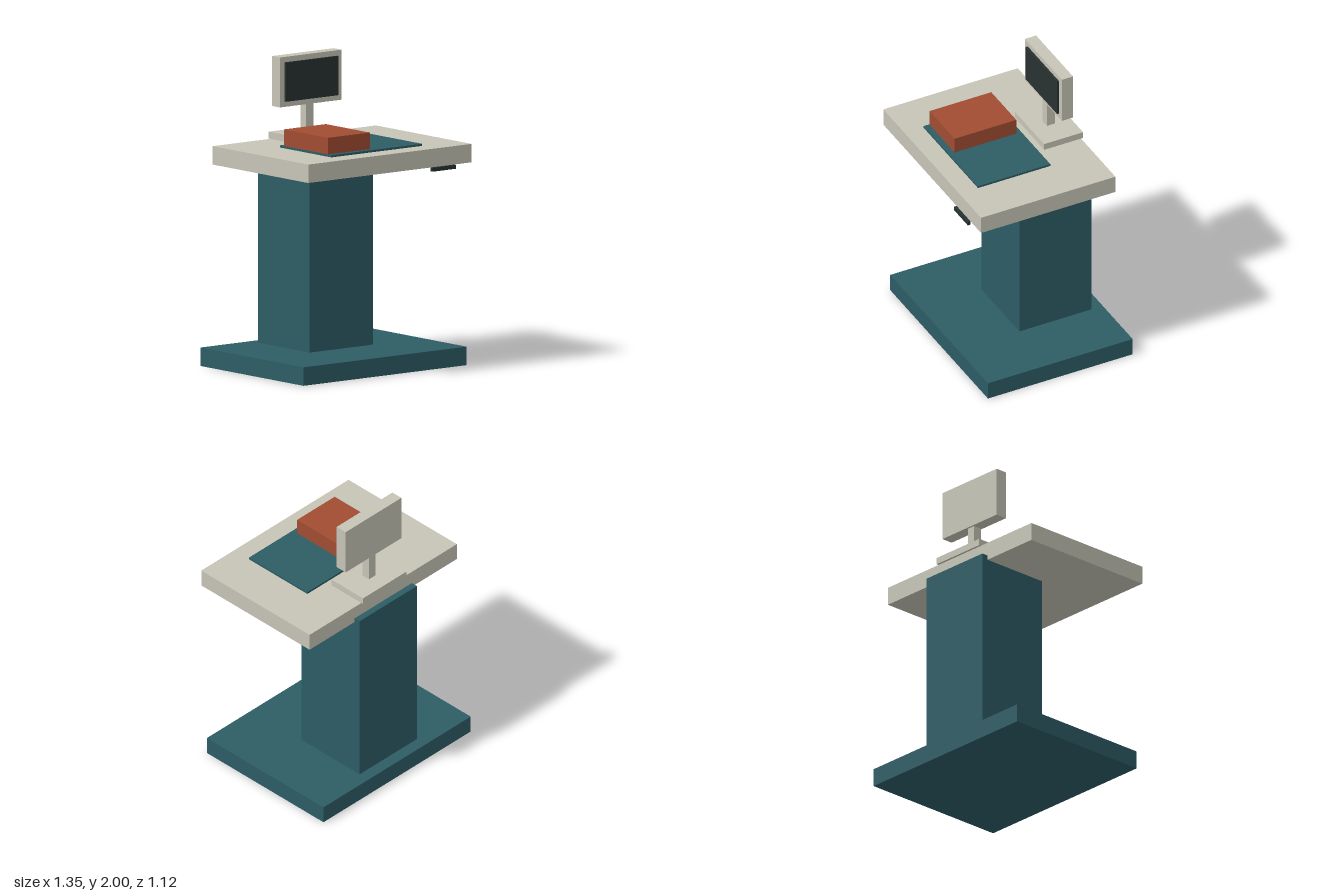
import * as THREE from 'three';

const material = (name, color) => {
  const m = new THREE.MeshStandardMaterial({ color });
  m.name = name;
  return m;
};

export function createModel() {
  const model = new THREE.Group();
  model.name = 'checkoutDesk';

  const beige = material('warm beige', 0xc7c5b7);
  const teal = material('deep teal', 0x2d5c65);
  const rust = material('rust red', 0xa04c32);
  const charcoal = material('charcoal', 0x293131);

  // Adds a box given its extents along each axis
  const addBox = (parent, name, mat, [x0, x1], [y0, y1], [z0, z1]) => {
    const mesh = new THREE.Mesh(new THREE.BoxGeometry(x1 - x0, y1 - y0, z1 - z0), mat);
    mesh.position.set((x0 + x1) / 2, (y0 + y1) / 2, (z0 + z1) / 2);
    mesh.name = name;
    parent.add(mesh);
  };

  // Pedestal desk
  const desk = new THREE.Group();
  desk.name = 'desk';
  addBox(desk, 'floorBase', teal, [-0.675, 0.675], [0, 0.12], [-0.56, 0.49]);
  addBox(desk, 'column', teal, [-0.262, 0.262], [0.12, 1.355], [-0.48, 0.045]);
  addBox(desk, 'tabletop', beige, [-0.675, 0.675], [1.325, 1.445], [-0.435, 0.54]);
  addBox(desk, 'heightControl', charcoal, [0.337, 0.53], [1.3, 1.325], [0.54, 0.56]);

  // Desk mat with a box standing on its right half
  addBox(desk, 'deskMat', teal, [-0.375, 0.375], [1.445, 1.459], [-0.12, 0.405]);
  addBox(desk, 'storageBox', rust, [-0.37, -0.025], [1.459, 1.567], [-0.083, 0.365]);

  // Monitor on its stand
  const monitor = new THREE.Group();
  monitor.name = 'monitor';
  addBox(monitor, 'standFoot', beige, [-0.2, 0.2], [1.445, 1.49], [-0.45, -0.167]);
  addBox(monitor, 'standPost', beige, [-0.03, 0.03], [1.49, 1.675], [-0.335, -0.277]);
  addBox(monitor, 'housing', beige, [-0.255, 0.255], [1.675, 2], [-0.348, -0.267]);
  addBox(monitor, 'screen', charcoal, [-0.217, 0.217], [1.71, 1.965], [-0.267, -0.252]);

  model.add(desk, monitor);
  return model;
}
